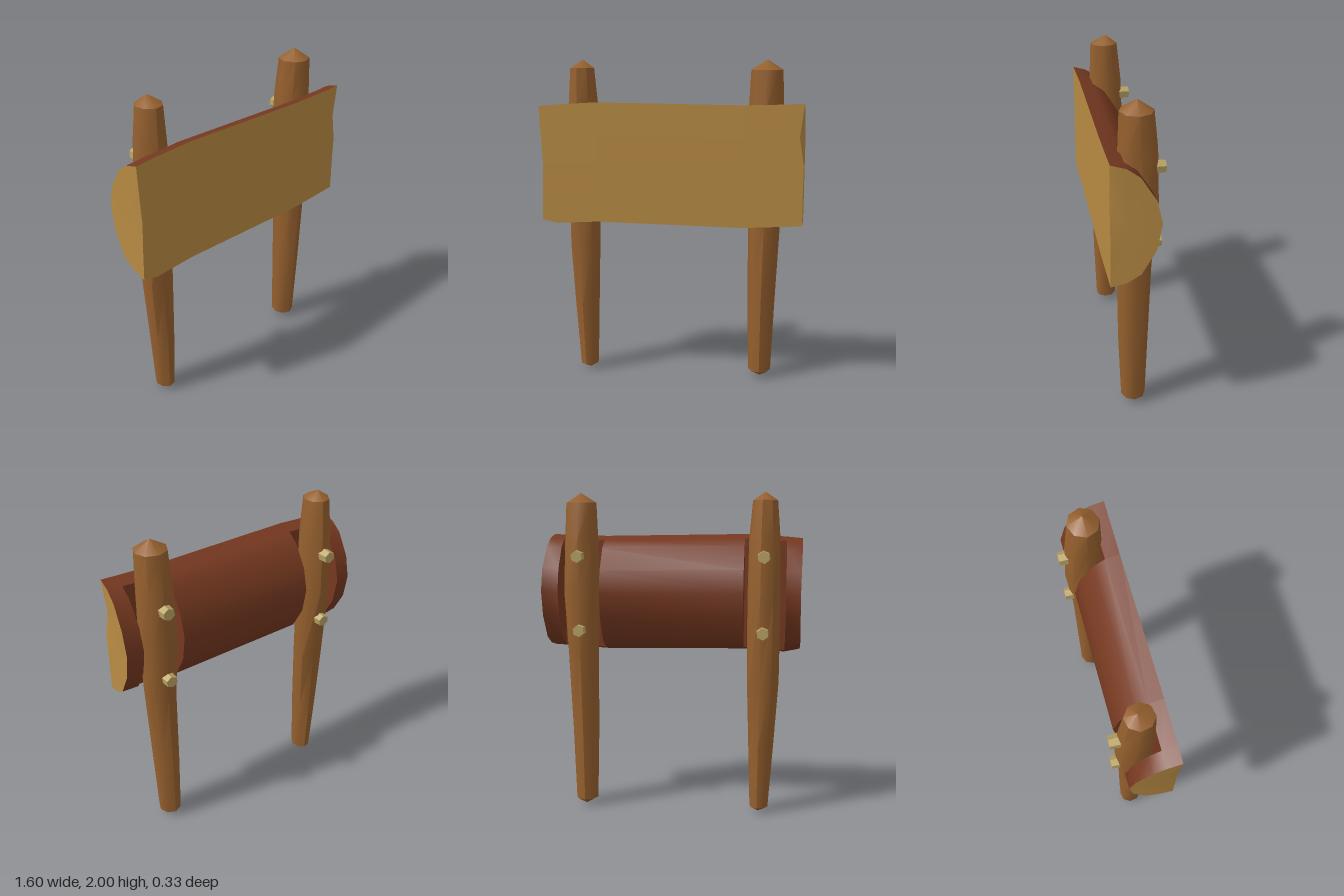
import * as THREE from 'three';
import { toCreasedNormals } from 'three/addons/utils/BufferGeometryUtils.js';

const V = (x, y, z) => new THREE.Vector3(x, y, z);
const woodMat = new THREE.MeshStandardMaterial({ color: 0x96602e });
const barkMat = new THREE.MeshStandardMaterial({ color: 0x753820 });
const cutMat = new THREE.MeshStandardMaterial({ color: 0xb88b43 });
const pegMat = new THREE.MeshStandardMaterial({ color: 0xb8a263 });

// Skin a row of cross-sections; zero-area triangles are dropped
function loft(rings, closed, crease) {
  const pos = [];
  const tri = (a, b, c) => {
    if (a.distanceTo(b) < 1e-6 || b.distanceTo(c) < 1e-6 || c.distanceTo(a) < 1e-6) return;
    for (const p of [a, b, c]) pos.push(p.x, p.y, p.z);
  };
  for (let i = 0; i + 1 < rings.length; i++) {
    const n = rings[i].length;
    for (let j = 0; j < (closed ? n : n - 1); j++) {
      const k = (j + 1) % n;
      tri(rings[i][j], rings[i + 1][j], rings[i][k]);
      tri(rings[i][k], rings[i + 1][j], rings[i + 1][k]);
    }
  }
  const geo = new THREE.BufferGeometry();
  geo.setAttribute('position', new THREE.Float32BufferAttribute(pos, 3));
  return toCreasedNormals(geo, crease);
}

function add(parent, name, geo, mat) {
  const mesh = new THREE.Mesh(geo, mat);
  mesh.name = name;
  parent.add(mesh);
  return mesh;
}

// Rough pole: rows of [y, xMin, xMax, zMin, zMax], pointed at both ends
function post(rows, sides, turn) {
  const rings = rows.map(([y, x0, x1, z0, z1]) =>
    Array.from({ length: sides }, (_, j) => {
      const a = turn + (j / sides) * Math.PI * 2;
      return V((x0 + x1) / 2 + Math.cos(a) * (x1 - x0) / 2, y,
        (z0 + z1) / 2 + Math.sin(a) * (z1 - z0) / 2);
    }));
  return loft(rings, true, 0.8);
}

// Half-log section from top edge round the back to bottom edge: [z, height fraction]
const SECTION = [[0.165, 1], [0.08, 0.965], [0.01, 0.895], [-0.075, 0.71], [-0.108, 0.52],
  [-0.08, 0.3], [0.0, 0.1], [0.08, 0.03], [0.165, 0]];
const FACE = [0, 0.25, 0.5, 0.73, 1];
const NOTCH_FLOOR = 0.08;

// Stations along the log: [x, yBottom, yTop, notched]
const STATIONS = [
  [-0.8, 1.03, 1.725, false], [-0.705, 1.01, 1.735, false], [-0.705, 1.01, 1.735, true],
  [-0.45, 1.025, 1.75, true], [-0.45, 1.025, 1.75, false],
  [0.435, 1.01, 1.738, false], [0.435, 1.01, 1.738, true],
  [0.695, 1.025, 1.745, true], [0.695, 1.025, 1.745, false], [0.785, 1.03, 1.75, false],
];
// Uneven saw cuts at the two ends
const CUT_BARK = [
  [-0.803, -0.802, -0.8, -0.795, -0.792, -0.795, -0.8, -0.8, -0.8],
  [0.78, 0.785, 0.79, 0.798, 0.8, 0.8, 0.798, 0.795, 0.787],
];
const CUT_FACE = [[-0.8, -0.795, -0.787, -0.795, -0.803], [0.787, 0.785, 0.785, 0.757, 0.78]];

function createLog() {
  const log = new THREE.Group();
  log.name = 'halfLog';
  const end = (i) => (i === 0 ? 0 : i === STATIONS.length - 1 ? 1 : -1);

  const bark = STATIONS.map(([x, y0, y1, notched], i) => SECTION.map(([z, t], j) =>
    V(end(i) < 0 ? x : CUT_BARK[end(i)][j], y0 + (y1 - y0) * t,
      notched ? Math.max(z, NOTCH_FLOOR) : z)));
  add(log, 'bark', loft(bark, false, 0.75), barkMat);

  const face = STATIONS.map(([x, y0, y1], i) => FACE.map((t, j) =>
    V(end(i) < 0 ? x : CUT_FACE[end(i)][j], y0 + (y1 - y0) * t, 0.165)));
  add(log, 'frontFace', loft(face, false, 0.6), cutMat);

  // End caps fan in to a centre point
  [0, STATIONS.length - 1].forEach((i, side) => {
    const loop = [...bark[i], ...face[i].slice(1, -1)];
    const mid = V(side ? 0.79 : -0.797, 1.385, 0.05);
    const hub = loop.map(() => mid);
    add(log, side ? 'leftEnd' : 'rightEnd', loft(side ? [loop, hub] : [hub, loop], true, 0.6), cutMat);
  });
  return log;
}

export function createModel() {
  const model = new THREE.Group();
  model.name = 'signboard';
  model.add(createLog());

  add(model, 'rightPost', post([
    [0.005, -0.56, -0.56, -0.01, -0.01],
    [0.04, -0.622, -0.505, -0.075, 0.06],
    [0.45, -0.65, -0.49, -0.09, 0.075],
    [0.85, -0.675, -0.475, -0.1, 0.08],
    [1.35, -0.675, -0.47, -0.13, 0.085],
    [1.72, -0.667, -0.475, -0.115, 0.085],
    [1.95, -0.647, -0.495, -0.09, 0.075],
    [2.0, -0.57, -0.57, -0.02, -0.02]], 8, 0.2), woodMat);

  add(model, 'leftPost', post([
    [0.005, 0.555, 0.555, -0.01, -0.01],
    [0.05, 0.48, 0.622, -0.085, 0.065],
    [0.5, 0.468, 0.637, -0.095, 0.085],
    [1.0, 0.462, 0.658, -0.105, 0.095],
    [1.4, 0.445, 0.675, -0.137, 0.088],
    [1.72, 0.453, 0.663, -0.125, 0.092],
    [1.94, 0.463, 0.653, -0.1, 0.085],
    [2.0, 0.56, 0.56, -0.01, -0.01]], 8, 0), woodMat);

  // Hexagonal peg heads on the backs of the posts
  for (const [x, side] of [[-0.57, 'right'], [0.557, 'left']]) {
    for (const [y, z, level] of [[1.615, -0.132, 'Upper'], [1.16, -0.12, 'Lower']]) {
      const geo = new THREE.CylinderGeometry(0.037, 0.042, 0.07, 6).toNonIndexed();
      geo.computeVertexNormals();
      const peg = add(model, side + level + 'Peg', geo, pegMat);
      peg.position.set(x, y, z);
      peg.rotation.set(-Math.PI / 2, 0.12, 0);
    }
  }
  return model;
}
